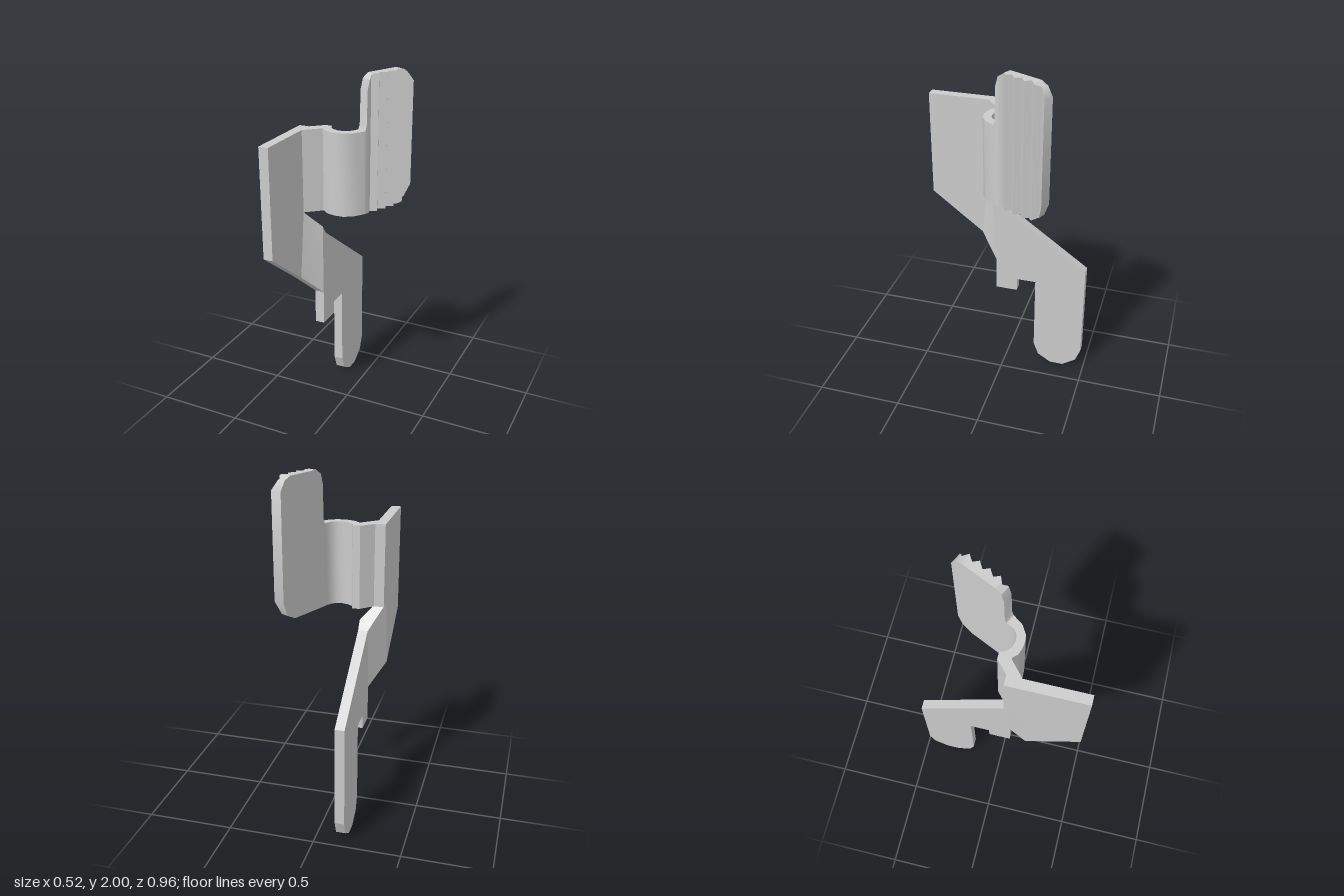
import * as THREE from 'three';
import { toCreasedNormals } from 'three/addons/utils/BufferGeometryUtils.js';

const material = new THREE.MeshStandardMaterial({ color: 0xcccccc });

function addMesh(group, name, geometry) {
  const mesh = new THREE.Mesh(geometry, material);
  mesh.name = name;
  group.add(mesh);
}

// Solid lofted through four-cornered sections:
// back bottom, back top, front top, front bottom
function loft(sections, crease) {
  const pos = [];
  const tri = (...pts) => pts.forEach((p) => pos.push(...p));
  for (let i = 0; i < sections.length - 1; i++) {
    const s = sections[i], t = sections[i + 1];
    for (let j = 0; j < 4; j++) {
      const k = (j + 1) % 4;
      tri(s[j], s[k], t[k]);
      tri(s[j], t[k], t[j]);
    }
  }
  const a = sections[0], b = sections[sections.length - 1];
  tri(a[0], a[2], a[1]);
  tri(a[0], a[3], a[2]);
  tri(b[0], b[1], b[2]);
  tri(b[0], b[2], b[3]);
  const geometry = new THREE.BufferGeometry();
  geometry.setAttribute('position', new THREE.Float32BufferAttribute(pos, 3));
  return toCreasedNormals(geometry, crease);
}

// Flat plate from a (z, y) outline, spanning xMin to xMax
function plate(outline, xMin, xMax) {
  const shape = new THREE.Shape(outline.map(([z, y]) => new THREE.Vector2(z, y)));
  return new THREE.ExtrudeGeometry(shape, { depth: xMax - xMin, bevelEnabled: false })
    .rotateY(-Math.PI / 2)
    .translate(xMax, 0, 0);
}

// Piecewise linear lookup in [position, value] pairs
function lookup(table, u) {
  if (u <= table[0][0]) return table[0][1];
  for (let i = 1; i < table.length; i++) {
    const [u0, v0] = table[i - 1], [u1, v1] = table[i];
    if (u <= u1) return v0 + ((v1 - v0) * (u - u0)) / (u1 - u0);
  }
  return table[table.length - 1][1];
}

const section = (bx, bz, fx, fz, bottom, top) => [
  [bx, bottom, bz], [bx, top, bz], [fx, top, fz], [fx, bottom, fz],
];

export function createModel() {
  const group = new THREE.Group();
  group.name = 'clipLever';

  // Upright front plate
  addMesh(group, 'frontPlate', plate(
    [[0.48, 1.705], [0.13, 1.705], [0.13, 1.235], [0.175, 0.85], [0.48, 1.085]],
    -0.26, -0.205));

  // Offset rear plate with notch and rounded leg
  addMesh(group, 'rearLeg', plate(
    [[0.065, 1.14], [0.03, 1.09], [-0.48, 0.725], [-0.48, 0.135], [-0.45, 0.055],
      [-0.37, 0], [-0.29, 0], [-0.21, 0.05], [-0.18, 0.13], [-0.18, 0.6],
      [-0.065, 0.6], [-0.065, 0.52], [0.065, 0.52]],
    -0.175, -0.12));

  // Twisted joggle joining the two plates
  addMesh(group, 'joggle', loft([
    [[-0.26, 0.85, 0.175], [-0.26, 1.235, 0.13], [-0.205, 1.235, 0.13], [-0.205, 0.85, 0.175]],
    [[-0.175, 0.725, 0.065], [-0.175, 1.09, 0.03], [-0.12, 1.14, 0.065], [-0.12, 0.725, 0.065]],
  ], 0.5));

  // Curved spring band: back x, z and front x, z
  const low = 1.235, high = 1.705;
  const band = [
    [-0.26, 0.05, -0.26, 0.13], [-0.203, 0.05, -0.205, 0.13],
    [-0.135, -0.012, -0.118, 0.055], [-0.095, -0.012, -0.112, 0.057],
    [-0.085, 0.022, -0.09, 0.08], [-0.06, 0.042, -0.065, 0.09],
    [-0.025, 0.053, -0.03, 0.098], [0.01, 0.05, 0.02, 0.095],
    [0.035, 0.033, 0.07, 0.065], [0.053, 0.005, 0.103, 0.02],
  ].map((p) => section(...p, low, high));

  // Thumb tab, measured along its length back from the tip
  const thickness = [[-0.325, 0.057], [-0.3, 0.054], [-0.28, 0.037]];
  for (let i = 4; i >= 0; i--) {
    thickness.push([-0.0625 * i, 0.066]);
    if (i > 0) thickness.push([-0.0625 * i + 0.025, 0.039]);
  }
  const topEdge = [[-0.335, high], [-0.325, 1.73], [-0.32, 1.92], [-0.305, 1.975],
    [-0.27, 2], [-0.07, 2], [-0.03, 1.98], [0, 1.93]];
  const bottomEdge = [[-0.085, low], [-0.03, 1.265], [0, 1.34]];
  const stops = [...new Set([...thickness, ...topEdge, ...bottomEdge].map((p) => p[0]))]
    .sort((a, b) => a - b);
  const dx = 0.42, dz = -0.907;
  const tab = stops.map((u) => {
    const t = lookup(thickness, u);
    const bx = 0.2 + dx * u, bz = -0.317 + dz * u;
    return section(bx, bz, bx - dz * t, bz + dx * t, lookup(bottomEdge, u), lookup(topEdge, u));
  });
  addMesh(group, 'springBandAndThumbTab', loft([...band, ...tab], 0.6));

  return group;
}
